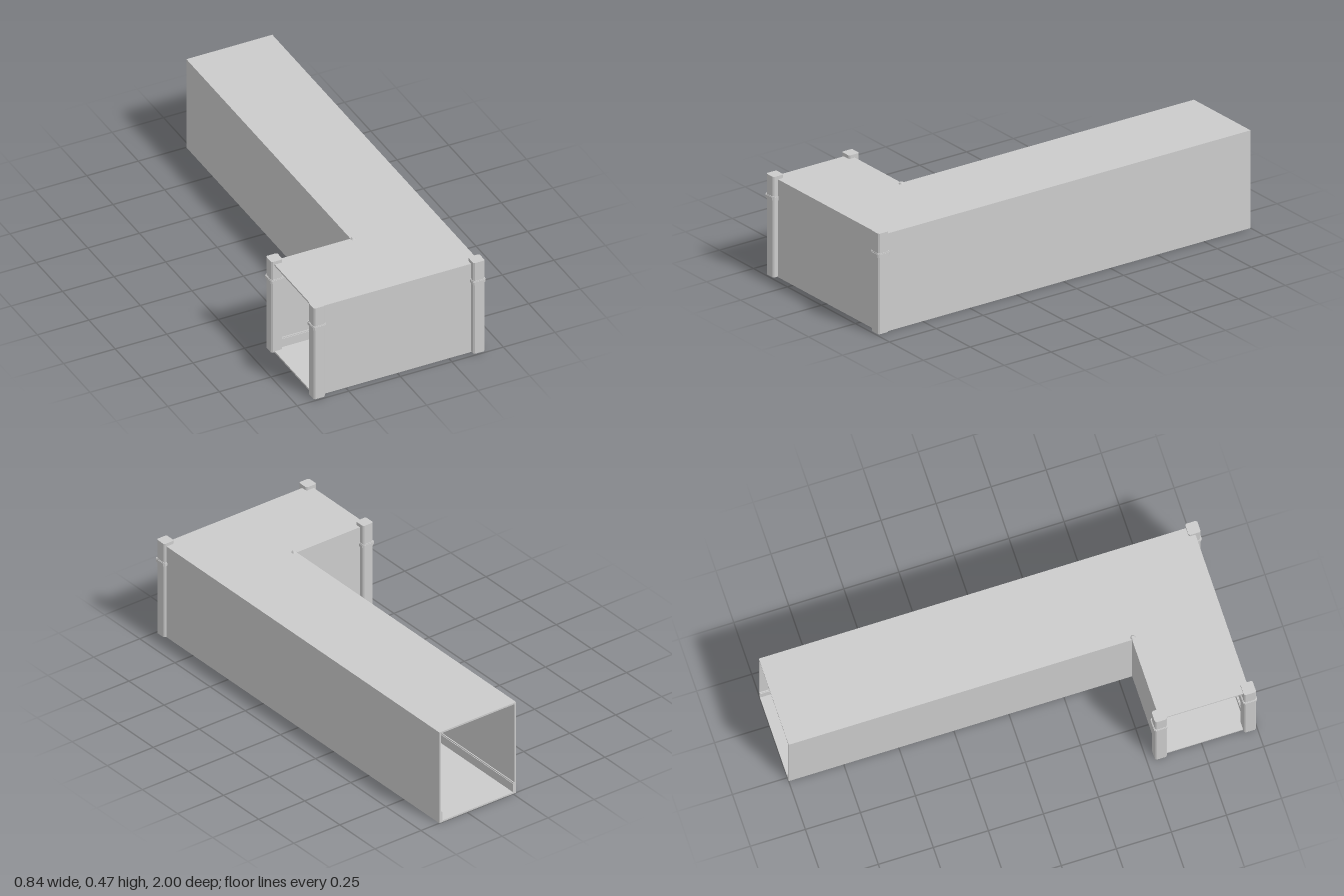
import * as THREE from 'three';

const material = new THREE.MeshStandardMaterial({ color: 0xcccccc, flatShading: true });

// Extrude a plan outline of [x, z] points upward from y0 to y1
function slab(name, plan, y0, y1) {
  const shape = new THREE.Shape(plan.map(([x, z]) => new THREE.Vector2(x, -z)));
  const geo = new THREE.ExtrudeGeometry(shape, { depth: y1 - y0, bevelEnabled: false });
  geo.rotateX(-Math.PI / 2).translate(0, y0, 0);
  const mesh = new THREE.Mesh(geo, material);
  mesh.name = name;
  return mesh;
}

// Square outline with chamfered corners
function chamferedSquare(half, cut) {
  const a = half, b = half - cut;
  return [[a, b], [b, a], [-b, a], [-a, b], [-a, -b], [-b, -a], [b, -a], [a, -b]];
}

// Thick strip of wall or skirting following an open run of [x, z] corners.
// The sides are axis aligned; the strip lies between two offsets to the right of the run.
function strip(name, run, near, far, y0, y1) {
  const offset = d => run.map((p, i) => {
    const q = [...p];
    for (const [a, b] of [[run[i - 1], p], [p, run[i + 1]]]) {
      if (!a || !b) continue;
      q[0] -= Math.sign(b[1] - a[1]) * d;
      q[1] += Math.sign(b[0] - a[0]) * d;
    }
    return q;
  });
  return slab(name, [...offset(near), ...offset(far).reverse()], y0, y1);
}

// Corner post with a collar
function post(x, z) {
  const group = new THREE.Group();
  group.name = 'cornerPost';
  group.add(
    slab('postShaft', chamferedSquare(0.0275, 0.006), 0.003, 0.475),
    slab('collarBand', chamferedSquare(0.032, 0.007), 0.366, 0.378),
    slab('collarLip', chamferedSquare(0.03, 0.006), 0.362, 0.382),
  );
  group.position.set(x, 0, z);
  return group;
}

export function createModel() {
  const model = new THREE.Group();
  model.name = 'cornerCorridor';

  // L-shaped floor and roof
  const plan = [[-0.4, 0.56], [-0.4, 0.97], [0.4, 0.97], [0.4, -1], [-0.017, -1], [-0.017, 0.56]];
  model.add(slab('floor', plan, 0, 0.008), slab('roof', plan, 0.451, 0.459));

  // Walls with both corridor ends left open
  const innerRun = [[-0.4, 0.56], [-0.017, 0.56], [-0.017, -1]];
  const outerRun = [[0.4, -1], [0.4, 0.97], [-0.4, 0.97]];
  for (const [side, run] of [['inner', innerRun], ['outer', outerRun]]) {
    model.add(strip(side + 'Wall', run, 0, 0.008, 0.008, 0.451));
    model.add(strip(side + 'Skirting', run, 0.008, 0.016, 0.008, 0.05));
    model.add(strip(side + 'SkirtingLip', run, 0.008, 0.013, 0.05, 0.055));
  }

  // Posts on the outer corners and beside the short opening
  for (const [x, z] of [[-0.388, 0.563], [-0.388, 0.967], [0.386, 0.967]]) model.add(post(x, z));

  // Slim rod with a cap in the inside corner
  const rod = new THREE.Mesh(new THREE.CylinderGeometry(0.008, 0.008, 0.456, 10).translate(0, 0.232, 0), material);
  rod.name = 'cornerRod';
  const cap = new THREE.Mesh(new THREE.CylinderGeometry(0.008, 0.012, 0.008, 10).translate(0, 0.463, 0), material);
  cap.name = 'rodCap';
  for (const part of [rod, cap]) {
    part.position.set(-0.008, 0, 0.567);
    model.add(part);
  }
  return model;
}
